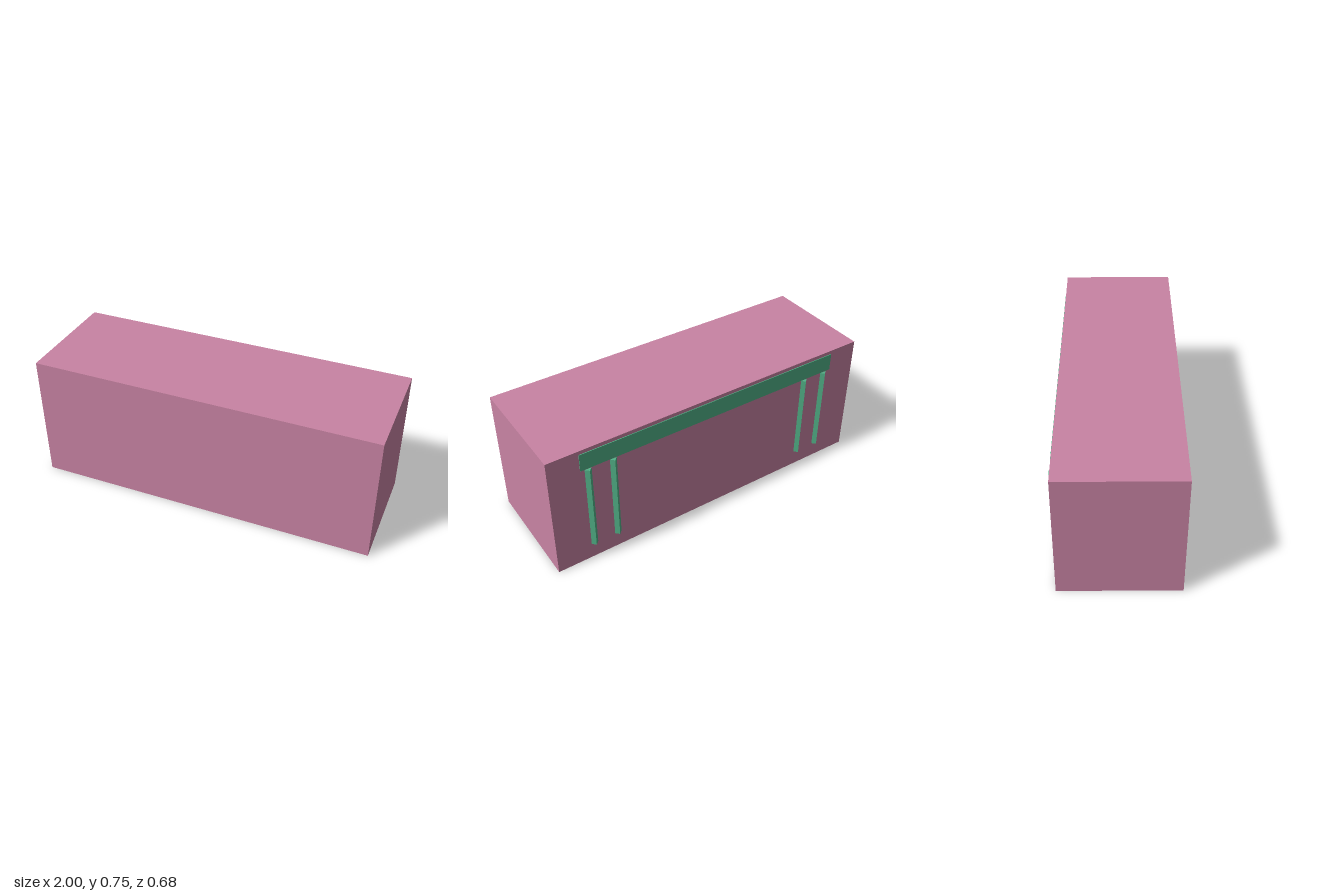
import * as THREE from 'three';

const pink = new THREE.MeshStandardMaterial({ color: 0xc883a3, flatShading: true });
const green = new THREE.MeshStandardMaterial({ color: 0x52b388, flatShading: true });

const BACK = -0.32; // rear face of the main block

export function createModel() {
  const model = new THREE.Group();
  model.name = 'block';

  const add = (name, geometry, material, x, y, z) => {
    const mesh = new THREE.Mesh(geometry, material);
    mesh.name = name;
    mesh.position.set(x, y, z);
    model.add(mesh);
  };

  // Main block
  add('body', new THREE.BoxGeometry(2, 0.755, 0.66), pink, 0, 0.3775, 0.01);

  // Thin horizontal strip across the top of the back
  add('backStrip', new THREE.BoxGeometry(1.64, 0.104, 0.004), green, 0, 0.681, BACK - 0.002);

  // Four upright ridges of triangular section, in mirrored pairs
  const section = new THREE.Shape([
    new THREE.Vector2(-0.02, 0),
    new THREE.Vector2(0.02, 0),
    new THREE.Vector2(0, 0.02),
  ]);
  const ridge = new THREE.ExtrudeGeometry(section, { depth: 0.527, bevelEnabled: false });
  ridge.rotateX(-Math.PI / 2); // extrusion runs up y, apex points to -z
  for (const side of [1, -1]) {
    add('outerRidge', ridge, green, side * 0.775, 0.097, BACK);
    add('innerRidge', ridge, green, side * 0.63, 0.097, BACK);
  }

  return model;
}
